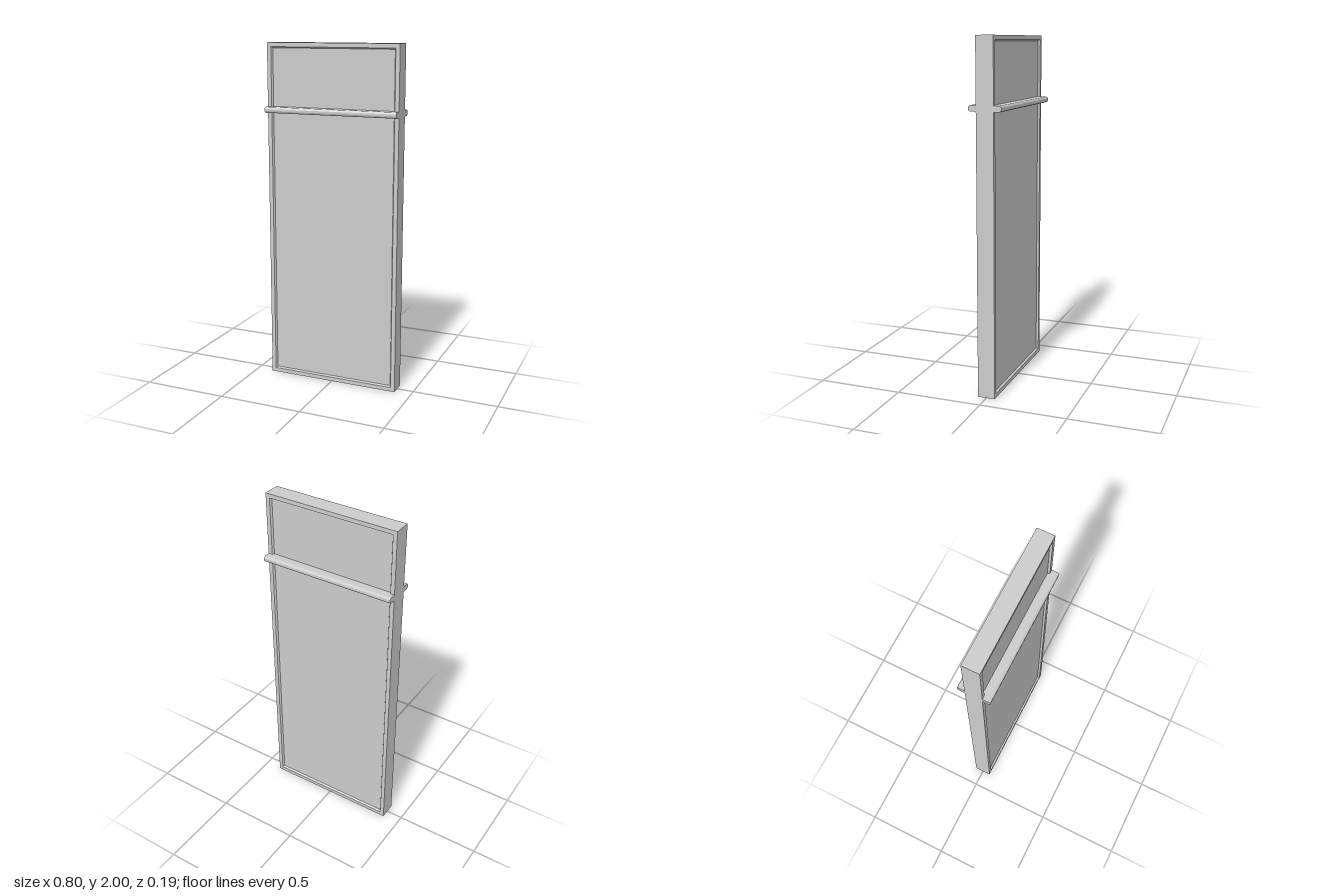
import * as THREE from 'three';

const material = new THREE.MeshStandardMaterial({ color: 0xcccccc, flatShading: true, side: THREE.DoubleSide });

// Skin a list of rectangular rings [inset from outer edge, z], running from back to front
function rectLoft(width, height, rings) {
  const corners = rings.map(([inset, z]) => {
    const x = width / 2 - inset, y0 = inset, y1 = height - inset;
    return [[-x, y0, z], [x, y0, z], [x, y1, z], [-x, y1, z]];
  });
  const pos = [];
  const quad = (a, b, c, d) => pos.push(...a, ...b, ...c, ...a, ...c, ...d);
  for (let r = 0; r < corners.length - 1; r++) {
    const p = corners[r], q = corners[r + 1];
    for (let i = 0; i < 4; i++) {
      const j = (i + 1) % 4;
      quad(p[i], p[j], q[j], q[i]);
    }
  }
  const back = corners[0], front = corners[corners.length - 1];
  quad(back[3], back[2], back[1], back[0]);
  quad(front[0], front[1], front[2], front[3]);
  const geo = new THREE.BufferGeometry();
  geo.setAttribute('position', new THREE.Float32BufferAttribute(pos, 3));
  geo.computeVertexNormals();
  return geo;
}

export function createModel() {
  const group = new THREE.Group();

  // Slab with a raised border and a shallow sunken panel on both faces
  const half = [[0, 0.05], [0.024, 0.05], [0.031, 0.038]];
  const rings = [...half.map(([inset, z]) => [inset, -z]).reverse(), ...half];
  const panel = new THREE.Mesh(rectLoft(0.8, 2, rings), material);
  panel.name = 'framedPanel';
  group.add(panel);

  // Horizontal rail on each face, with a chamfered nose
  for (const side of [1, -1]) {
    const shape = new THREE.Shape();
    const profile = [
      [0.037, 1.603], [0.083, 1.603], [0.09, 1.607], [0.094, 1.614],
      [0.094, 1.626], [0.09, 1.633], [0.083, 1.637], [0.037, 1.637],
    ];
    // Shape x becomes -z after the turn below
    shape.setFromPoints(profile.map(([z, y]) => new THREE.Vector2(-side * z, y)));
    const geo = new THREE.ExtrudeGeometry(shape, { depth: 0.8, bevelEnabled: false });
    geo.translate(0, 0, -0.4).rotateY(Math.PI / 2);
    const rail = new THREE.Mesh(geo, material);
    rail.name = side > 0 ? 'frontRail' : 'backRail';
    group.add(rail);
  }

  return group;
}
